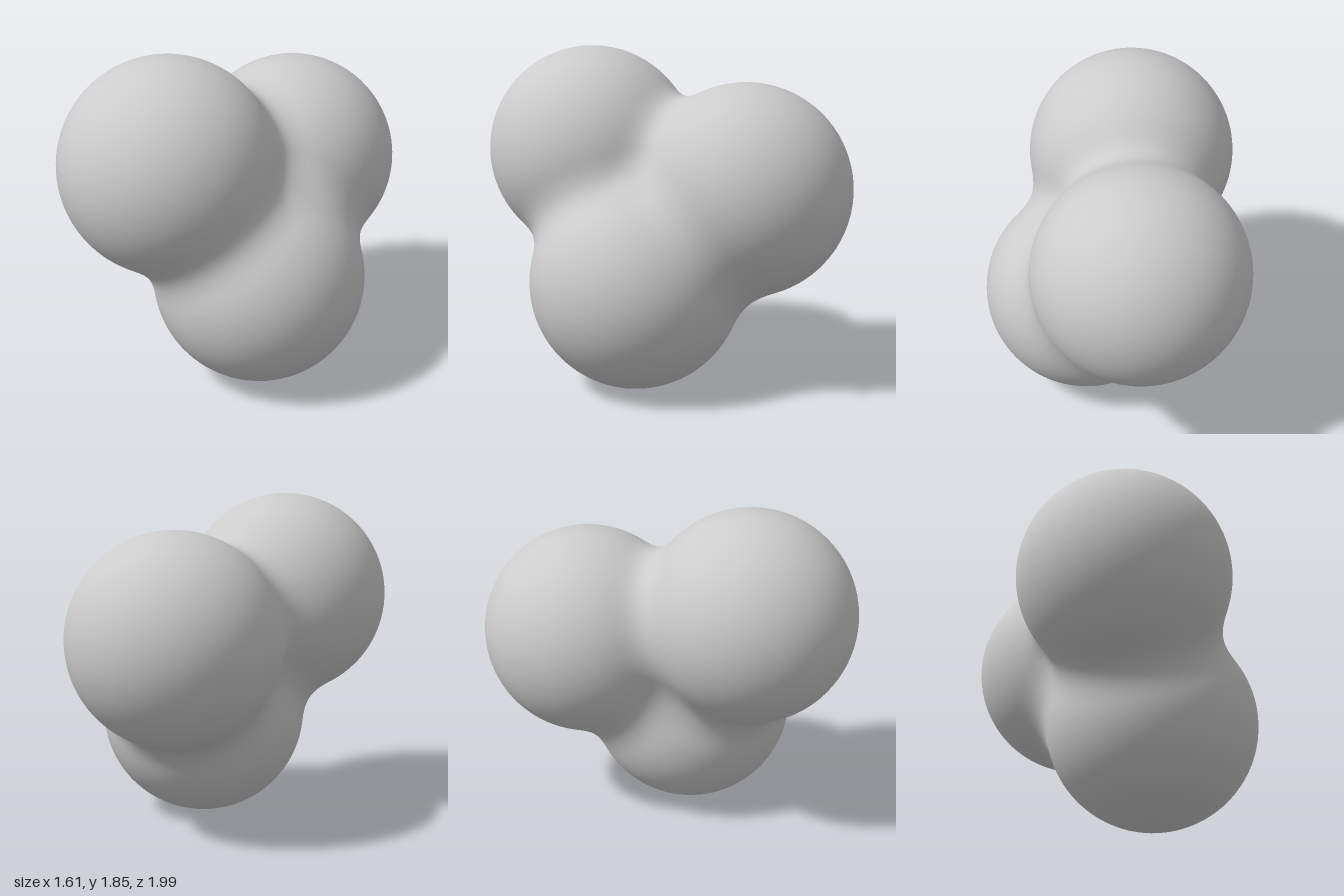
import * as THREE from 'three';
import { mergeVertices } from 'three/addons/utils/BufferGeometryUtils.js';

const RADIUS = 0.587;
const BLEND = 0.18; // softness of the creases between lobes
const lobes = [
  new THREE.Vector3(-0.22, 1.27, 0.41), // upper front lobe
  new THREE.Vector3(0.22, 1.095, -0.41), // back lobe
  new THREE.Vector3(0.22, 0.59, 0.19), // bottom lobe
];

// Smooth minimum, so that neighbouring spheres melt together
function smoothMin(a, b) {
  const h = Math.max(BLEND - Math.abs(a - b), 0) / BLEND;
  return Math.min(a, b) - h * h * BLEND * 0.25;
}

// Signed distance to the fused lobes
function field(p) {
  return lobes.map((c) => p.distanceTo(c) - RADIUS).reduce(smoothMin);
}

// Push every vertex of a ball out from the shared core to the fused surface
function fusedGeometry() {
  const core = new THREE.Vector3();
  lobes.forEach((c) => core.addScaledVector(c, 1 / lobes.length));

  let geometry = new THREE.IcosahedronGeometry(1, 24);
  geometry.deleteAttribute('uv');
  geometry.deleteAttribute('normal');
  geometry = mergeVertices(geometry, 1e-4);

  const pos = geometry.attributes.position;
  const dir = new THREE.Vector3();
  const p = new THREE.Vector3();
  for (let i = 0; i < pos.count; i++) {
    dir.fromBufferAttribute(pos, i).normalize();
    let near = 0;
    let far = 2;
    for (let step = 0; step < 24; step++) {
      const mid = (near + far) / 2;
      p.copy(core).addScaledVector(dir, mid);
      if (field(p) < 0) near = mid;
      else far = mid;
    }
    pos.setXYZ(i, p.x, p.y, p.z);
  }
  geometry.computeVertexNormals();
  return geometry;
}

export function createModel() {
  const group = new THREE.Group();
  group.name = 'threeLobedBlob';
  const body = new THREE.Mesh(
    fusedGeometry(),
    new THREE.MeshStandardMaterial({ color: 0xcccccc })
  );
  body.name = 'fusedLobes';
  group.add(body);
  return group;
}
